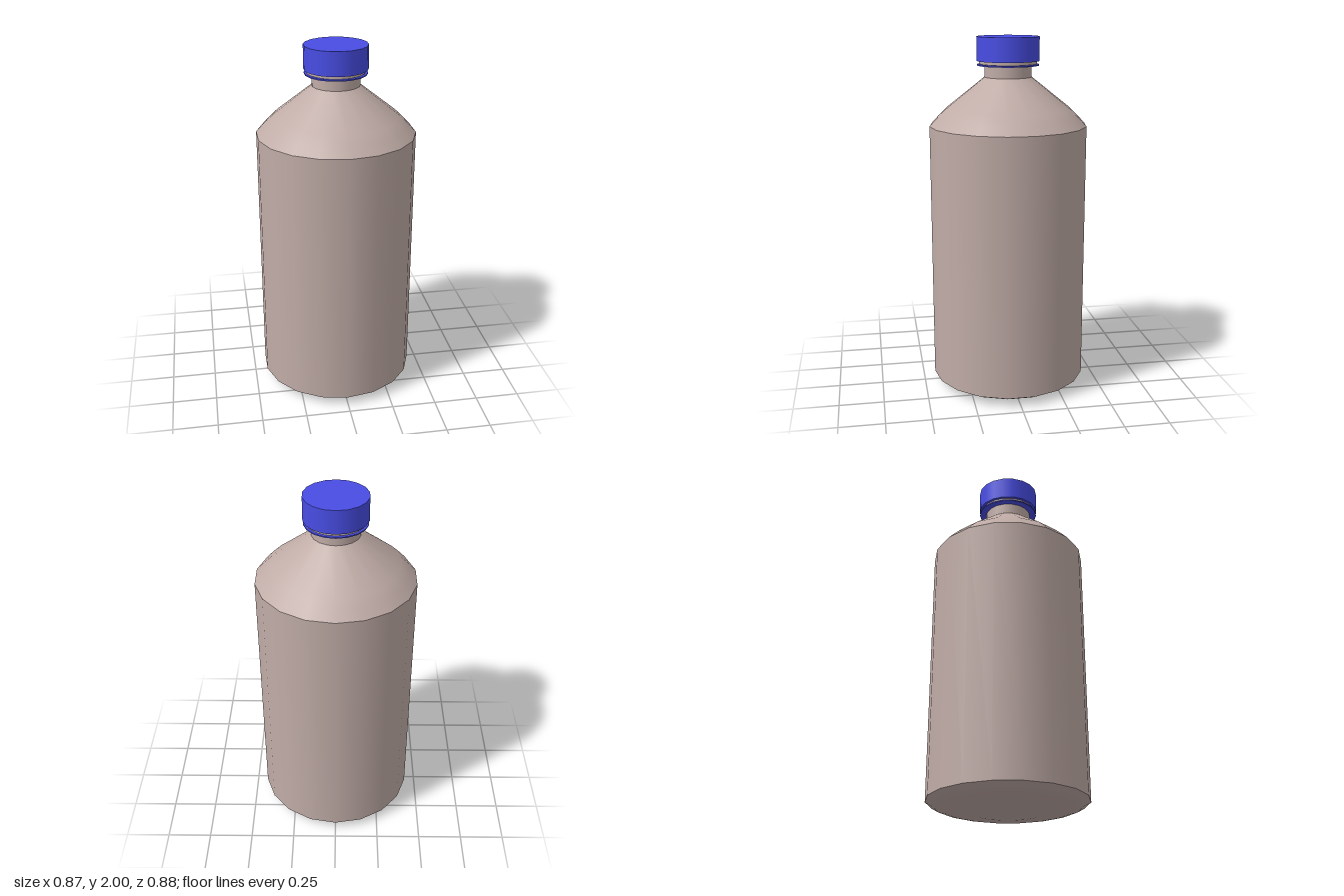
import * as THREE from 'three';

const SIDES = 18;

export function createModel() {
  const bottle = new THREE.Group();
  bottle.name = 'bottle';

  const shell = new THREE.MeshStandardMaterial({ color: 0xc0aca7, side: THREE.DoubleSide });
  shell.name = 'warm grey plastic';
  const blue = new THREE.MeshStandardMaterial({ color: 0x484de4, side: THREE.DoubleSide });
  blue.name = 'blue plastic';

  // Smooth revolved band; profile is [radius, height] running outward and upward
  function band(name, profile, material, parent = bottle) {
    const points = profile.map(([r, y]) => new THREE.Vector2(r, y));
    const mesh = new THREE.Mesh(new THREE.LatheGeometry(points, SIDES), material);
    mesh.name = name;
    parent.add(mesh);
  }

  // Separate bands keep the edges between them sharp
  band('base', [[0, 0.005], [0.2, 0], [0.36, 0.02], [0.4, 0.03], [0.44, 0.052]], shell);
  band('body', [[0.44, 0.052], [0.44, 1.515]], shell);
  band('shoulder', [[0.44, 1.515], [0.395, 1.563], [0.35, 1.607], [0.132, 1.78]], shell);
  band('neck', [[0.132, 1.78], [0.132, 1.87]], shell);

  // Neck flange between the safety ring and the cap
  band('neckFlange', [[0.132, 1.852], [0.16, 1.852]], shell);
  band('neckFlangeRim', [[0.16, 1.852], [0.16, 1.867]], shell);

  // Thin safety ring
  const ring = new THREE.Group();
  ring.name = 'safetyRing';
  bottle.add(ring);
  band('ringUnderside', [[0.134, 1.843], [0.172, 1.843]], blue, ring);
  band('ringRim', [[0.172, 1.843], [0.172, 1.85]], blue, ring);
  band('ringTop', [[0.172, 1.85], [0.134, 1.85]], blue, ring);

  // Screw cap
  const cap = new THREE.Group();
  cap.name = 'cap';
  bottle.add(cap);
  band('capUnderside', [[0.132, 1.868], [0.175, 1.868]], blue, cap);
  band('capWall', [[0.175, 1.868], [0.175, 2]], blue, cap);
  band('capTop', [[0.175, 2], [0, 2]], blue, cap);

  return bottle;
}
